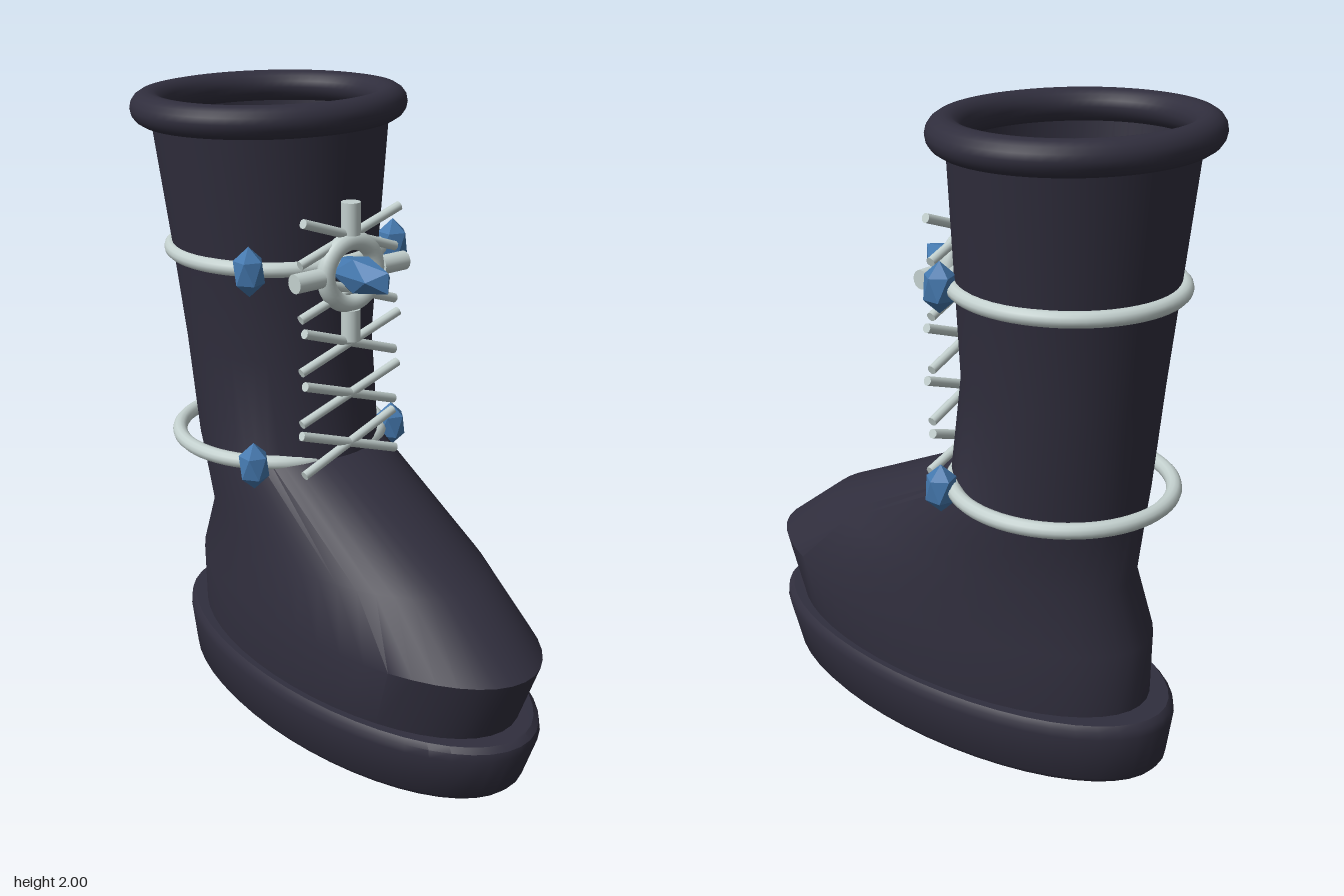
import * as THREE from 'three';
import { toCreasedNormals } from 'three/addons/utils/BufferGeometryUtils.js';

// Stack of ellipses; each section is [y, half width, front z, back z]
function loft(sections, capped, n = 48) {
  const pos = [], idx = [];
  for (const [y, w, front, back] of sections) {
    const c = (front + back) / 2, d = (front - back) / 2;
    for (let i = 0; i < n; i++) {
      const a = (i / n) * Math.PI * 2;
      pos.push(w * Math.sin(a), y, c + d * Math.cos(a));
    }
  }
  for (let s = 0; s < sections.length - 1; s++) {
    for (let i = 0; i < n; i++) {
      const a = s * n + i, b = s * n + (i + 1) % n;
      idx.push(a, b, b + n, a, b + n, a + n);
    }
  }
  if (capped) {
    const top = (sections.length - 1) * n;
    for (let i = 1; i < n - 1; i++) {
      idx.push(0, i + 1, i);
      idx.push(top, top + i, top + i + 1);
    }
  }
  const g = new THREE.BufferGeometry();
  g.setAttribute('position', new THREE.Float32BufferAttribute(pos, 3));
  g.setIndex(idx);
  return toCreasedNormals(g, 0.65);
}

export function createModel() {
  const leather = new THREE.MeshStandardMaterial({ color: 0x302e3d, side: THREE.DoubleSide });
  leather.name = 'dark leather';
  const silver = new THREE.MeshStandardMaterial({ color: 0xc3d0ce });
  silver.name = 'pale silver';
  const blue = new THREE.MeshStandardMaterial({ color: 0x4478ae, flatShading: true });
  blue.name = 'blue gem';

  const model = new THREE.Group();
  model.name = 'boot';
  const add = (name, geometry, material, parent = model) => {
    const m = new THREE.Mesh(geometry, material);
    m.name = name;
    parent.add(m);
    return m;
  };

  // Foot and shaft, open at the top
  add('upper', loft([
    [0.19, 0.334, 0.705, -0.70],
    [0.42, 0.35, 0.795, -0.70],
    [0.61, 0.31, 0.55, -0.63],
    [0.88, 0.285, -0.015, -0.65],
    [1.21, 0.302, -0.067, -0.675],
    [1.5, 0.335, -0.06, -0.70],
    [1.95, 0.395, -0.055, -0.735],
  ], false), leather);

  // Sole with bevelled edges
  add('sole', loft([
    [0, 0.335, 0.72, -0.755],
    [0.02, 0.35, 0.74, -0.77],
    [0.17, 0.37, 0.795, -0.79],
    [0.195, 0.367, 0.79, -0.785],
    [0.21, 0.355, 0.77, -0.77],
  ], true), leather);

  // Rolled cuff
  const cuff = add('cuff', new THREE.TorusGeometry(0.396, 0.056, 16, 64).rotateX(Math.PI / 2), leather);
  cuff.scale.set(1, 0.9, 0.878);
  cuff.position.set(0, 1.95, -0.397);

  // Ankle and calf rings, each with a pair of gems (one vertex up)
  const gem = new THREE.IcosahedronGeometry(1, 0).rotateZ(-Math.atan(2 / (1 + Math.sqrt(5))));
  for (const [name, y] of [['ankle', 0.875], ['calf', 1.505]]) {
    const ring = add(name + 'Ring', new THREE.TorusGeometry(0.336, 0.024, 12, 64).rotateX(Math.PI / 2), silver);
    ring.position.set(0, y, -0.38);
    for (const side of [-1, 1]) {
      const stone = add(name + (side > 0 ? 'GemLeft' : 'GemRight'), gem, blue);
      stone.scale.set(0.053, 0.078, 0.053);
      stone.position.set(side * 0.285, y + 0.003, -0.138);
    }
  }

  // Crossed laces
  const laces = new THREE.Group();
  laces.name = 'laces';
  model.add(laces);
  const up = new THREE.Vector3(0, 1, 0);
  for (let i = 0; i < 5; i++) {
    const y = 0.925 + i * 0.169;
    for (const side of [-1, 1]) {
      const a = new THREE.Vector3(-side * 0.187, y - 0.065, -0.015 + (i === 0 ? 0.01 : 0));
      const b = new THREE.Vector3(side * 0.187, y + 0.065, 0.003 - (i === 0 ? 0.02 : 0));
      const dir = b.clone().sub(a);
      const lace = add('lace', new THREE.CylinderGeometry(0.015, 0.015, dir.length(), 10), silver, laces);
      lace.position.copy(a).add(b).multiplyScalar(0.5);
      lace.quaternion.setFromUnitVectors(up, dir.normalize());
    }
  }

  // Round ornament with four short bars and a pointed centre gem
  const ornament = new THREE.Group();
  ornament.name = 'ornament';
  ornament.position.set(0, 1.487, -0.004);
  model.add(ornament);
  add('ornamentRing', new THREE.TorusGeometry(0.097, 0.029, 14, 40), silver, ornament);
  for (let i = 0; i < 4; i++) {
    const bar = add('ornamentBar', new THREE.CylinderGeometry(0.03, 0.03, 0.1, 16), silver, ornament);
    const a = i * Math.PI / 2;
    bar.position.set(-Math.sin(a) * 0.167, Math.cos(a) * 0.167, 0);
    bar.rotation.z = a;
  }
  const centre = add('centreGem', new THREE.IcosahedronGeometry(1, 0), blue, ornament);
  centre.scale.set(0.058, 0.062, 0.15);
  centre.position.z = 0.046;

  return model;
}
